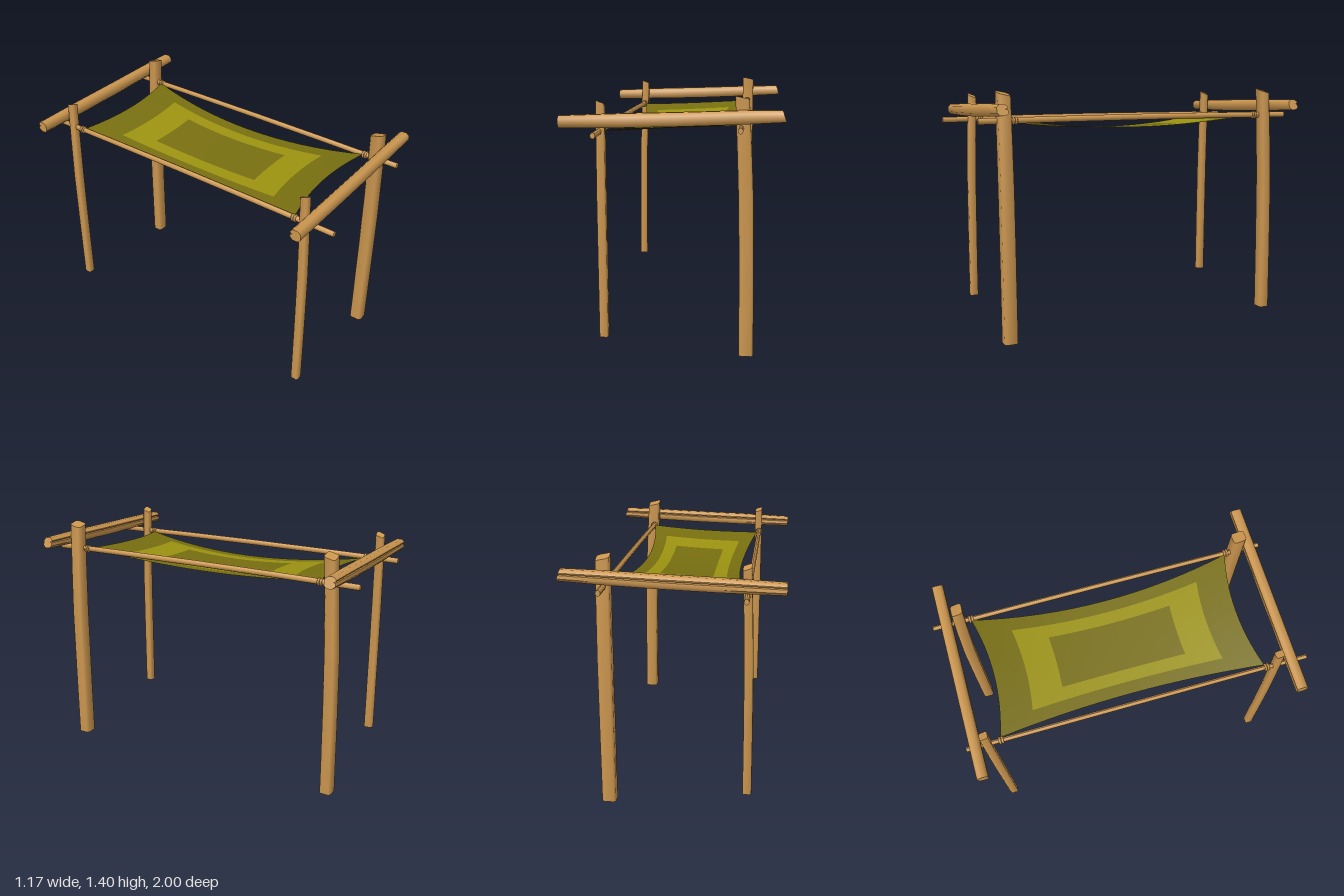
import * as THREE from 'three';
import { toCreasedNormals } from 'three/addons/utils/BufferGeometryUtils.js';

const wood = new THREE.MeshStandardMaterial({ color: 0xcb964f });
wood.name = 'wood';
const olive = new THREE.MeshStandardMaterial({ color: 0x786f10, side: THREE.DoubleSide });
olive.name = 'darkOlive';
const lime = new THREE.MeshStandardMaterial({ color: 0x9c9310, side: THREE.DoubleSide });
lime.name = 'lightOlive';

// Cross-sections as [u, v] pairs, counter-clockwise
const hewn = [[1, -0.7], [1, 0.7], [0.7, 1], [-0.7, 1], [-1, 0.7], [-1, -0.7], [-0.7, -1], [0.7, -1]];
const split = [[1, -0.5], [1, 0.5], [0.5, 1], [-0.5, 1], [-1, 0.5], [-1, -0.5], [-0.5, -1], [0.05, -0.9], [0.15, -0.4], [0.25, -0.9], [0.5, -1]];
const round = Array.from({ length: 8 }, (_, i) => [Math.cos(i * Math.PI / 4), Math.sin(i * Math.PI / 4)]);

// Closed solid through sections { c: centre, u, v: half-extent vectors }
function loft(name, profile, sections) {
  const n = profile.length;
  const pos = [];
  const idx = [];
  for (const { c, u, v } of sections) {
    for (const [a, b] of profile) {
      for (let k = 0; k < 3; k++) pos.push(c[k] + u[k] * a + v[k] * b);
    }
  }
  const last = sections.length - 1;
  for (let i = 0; i < last; i++) {
    for (let j = 0; j < n; j++) {
      const k = (j + 1) % n;
      const a = i * n + j, b = i * n + k;
      idx.push(a, b, b + n, a, b + n, a + n);
    }
  }
  // End caps
  const c0 = pos.length / 3;
  pos.push(...sections[0].c, ...sections[last].c);
  for (let j = 0; j < n; j++) {
    const k = (j + 1) % n;
    idx.push(c0, k, j, c0 + 1, last * n + j, last * n + k);
  }
  const g = new THREE.BufferGeometry();
  g.setAttribute('position', new THREE.Float32BufferAttribute(pos, 3));
  g.setIndex(idx);
  const mesh = new THREE.Mesh(toCreasedNormals(g, 0.9), wood);
  mesh.name = name;
  return mesh;
}

// Post whose foot leans outward along [dx, dz]
function post(name, x, z, dx, dz, lean, w, d, y0, y1) {
  const hx = (dx ? w : d) / 2;
  const hz = (dx ? d : w) / 2;
  const steps = [[0, 1, 1], [0.3, 0.9, 1], [0.6, 0.72, 1], [0.8, 0.4, 0.97], [1, 0, 0.94]];
  return loft(name, hewn, steps.map(([t, k, s]) => ({
    c: [x + dx * lean * k, y0 + (y1 - y0) * t, z + dz * lean * k],
    u: [0, t === 1 ? 0.008 : 0, hz * s],
    v: [hx * s, t === 1 ? -0.008 : 0, 0],
  })));
}

// Slightly bowed, tilted cross beam with a split along one face
function beam(name, z) {
  const steps = [[-0.583, 1.265, 0.031], [-0.25, 1.274, 0.036], [0.05, 1.283, 0.036], [0.35, 1.295, 0.035], [0.574, 1.304, 0.03]];
  return loft(name, split, steps.map(([x, y, h], i) => ({
    c: [x, y, z],
    u: [i === 4 ? -0.01 : 0, h, 0],
    v: [0, 0, 0.031],
  })));
}

// Side rail running front to back
function rail(name, x, y, z0, z1) {
  return loft(name, round, [0, 0.25, 0.5, 0.75, 1].map((t) => ({
    c: [x, y + 0.006 * Math.sin(Math.PI * t), z0 + (z1 - z0) * t],
    u: [0.014, 0, 0],
    v: [0, 0.017, 0],
  })));
}

// Point on the sagging cloth, a and b in -1..1
function clothPoint(a, b) {
  return [
    -0.0125 + a * (0.357 - 0.065 * (1 - b * b)),
    1.2235 + 0.0165 * a - 0.063 * (1 - b * b),
    -0.0125 + b * (0.7675 - 0.05 * (1 - a * a)),
  ];
}

// Cloth with concentric bands: border, middle and centre
function cloth() {
  const N = 16;
  const pos = [];
  const bands = [[], [], []];
  for (let i = 0; i <= N; i++) {
    for (let j = 0; j <= N; j++) pos.push(...clothPoint((j / N) * 2 - 1, (i / N) * 2 - 1));
  }
  for (let i = 0; i < N; i++) {
    for (let j = 0; j < N; j++) {
      const r = Math.max(Math.abs((j + 0.5) / N * 2 - 1), Math.abs((i + 0.5) / N * 2 - 1));
      const a = i * (N + 1) + j, b = a + N + 1;
      bands[r > 0.75 ? 0 : r > 0.5 ? 1 : 2].push(a, b, b + 1, a, b + 1, a + 1);
    }
  }
  const g = new THREE.BufferGeometry();
  g.setAttribute('position', new THREE.Float32BufferAttribute(pos, 3));
  g.setIndex(bands.flat());
  let start = 0;
  bands.forEach((band, i) => {
    g.addGroup(start, band.length, i);
    start += band.length;
  });
  g.computeVertexNormals();
  const mesh = new THREE.Mesh(g, [olive, lime, olive]);
  mesh.name = 'canopyCloth';
  return mesh;
}

export function createModel() {
  const model = new THREE.Group();
  model.name = 'canopy';

  // Posts: thick pair on the left, thin pair on the right
  model.add(
    post('frontLeftPost', 0.36, 0.827, 1, 0, 0.037, 0.078, 0.077, 0, 1.385),
    post('backLeftPost', 0.36, -0.836, 0, -1, 0.038, 0.068, 0.078, 0, 1.385),
    post('backRightPost', -0.381, -0.855, -1, 0, 0.025, 0.048, 0.05, 0.08, 1.355),
    post('frontRightPost', -0.379, 0.815, 0, 1, 0.022, 0.048, 0.048, 0.08, 1.355),
  );

  model.add(beam('frontBeam', 0.89), beam('backBeam', -0.915));
  model.add(rail('leftRail', 0.355, 1.235, -1, 0.967), rail('rightRail', -0.385, 1.207, -0.973, 1));

  // Lashings holding the cloth corners to the rails
  const ring = new THREE.TorusGeometry(0.016, 0.007, 6, 12);
  for (const [x, y] of [[0.355, 1.236], [-0.385, 1.208]]) {
    for (const z of [-0.785, -0.77, 0.755, 0.77]) {
      const lashing = new THREE.Mesh(ring, wood);
      lashing.name = 'lashing';
      lashing.position.set(x, y, z);
      model.add(lashing);
    }
  }

  model.add(cloth());
  return model;
}
